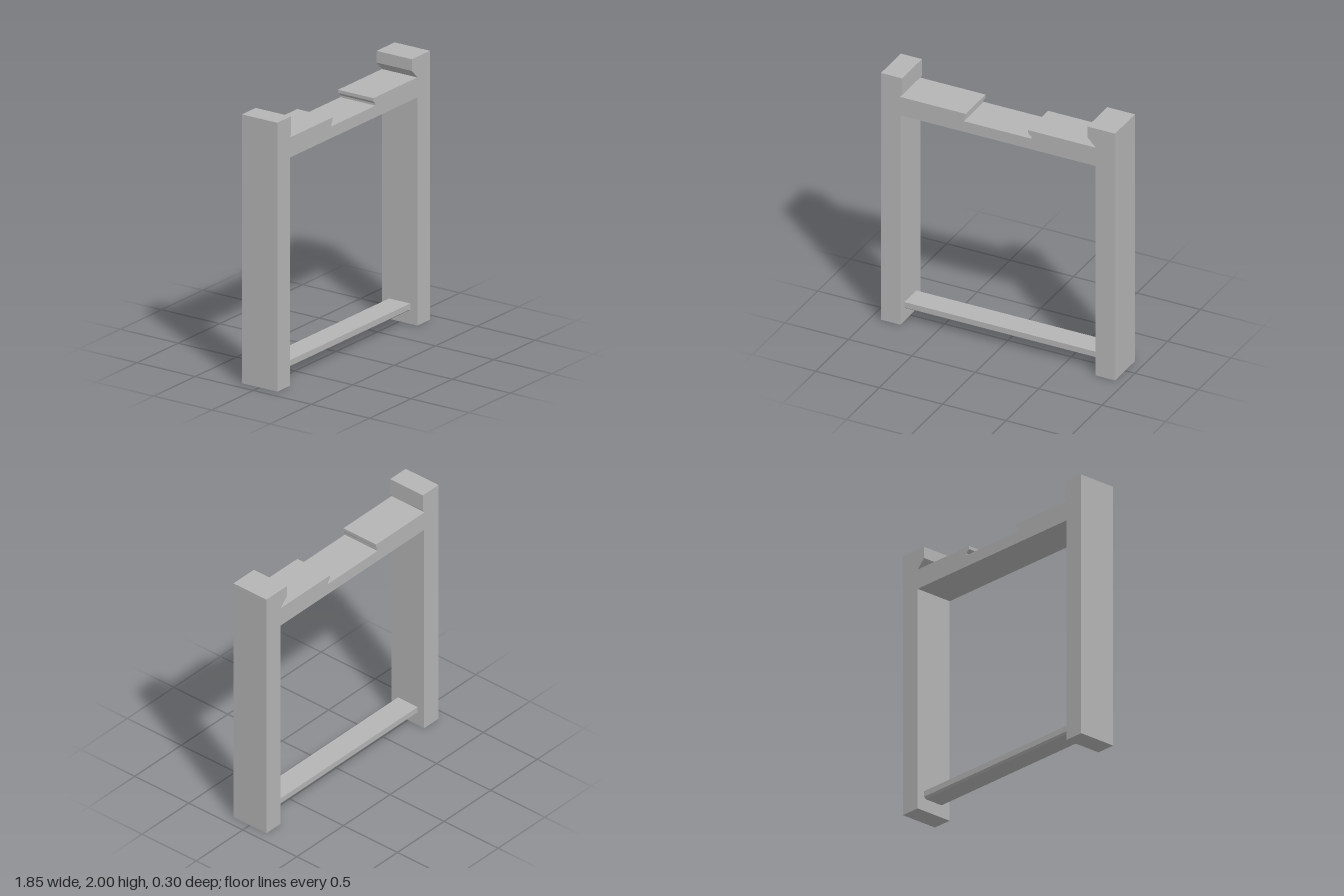
import * as THREE from 'three';

const DEPTH = 0.304;

// Straight extrusion of a closed profile, centred along its depth
function prism(points, depth) {
  const shape = new THREE.Shape(points.map(([x, y]) => new THREE.Vector2(x, y)));
  const geometry = new THREE.ExtrudeGeometry(shape, { depth, bevelEnabled: false });
  return geometry.translate(0, 0, -depth / 2);
}

export function createModel() {
  const model = new THREE.Group();
  model.name = 'standFrame';
  const grey = new THREE.MeshStandardMaterial({ color: 0xb4b4b4 });
  grey.name = 'grey';

  const add = (name, geometry) => {
    const mesh = new THREE.Mesh(geometry, grey);
    mesh.name = name;
    model.add(mesh);
  };

  // Two posts, hooked lips and dovetailed top rail in one continuous outline
  add('hookedFrame', prism([
    [-0.923, 0], [-0.77, 0], [-0.77, 1.697], [0.77, 1.697], [0.77, 0], [0.923, 0],
    // left post and its deep lip
    [0.923, 2], [0.704, 2], [0.704, 1.913], [0.77, 1.846],
    // dovetail recess in the top rail
    [0.238, 1.846], [0.238, 1.822], [0.264, 1.798], [0.264, 1.783],
    [-0.27, 1.783], [-0.27, 1.803], [-0.255, 1.82], [-0.255, 1.846],
    // right post and its shallow lip
    [-0.774, 1.846], [-0.756, 1.866], [-0.756, 2], [-0.923, 2],
  ], DEPTH));

  // Narrow lower crossbar with chamfered underside edges
  add('lowerCrossbar', prism([
    [-0.075, 0.095], [0.075, 0.095], [0.091, 0.109],
    [0.091, 0.152], [-0.091, 0.152], [-0.091, 0.109],
  ], 1.54).rotateY(Math.PI / 2));

  return model;
}
